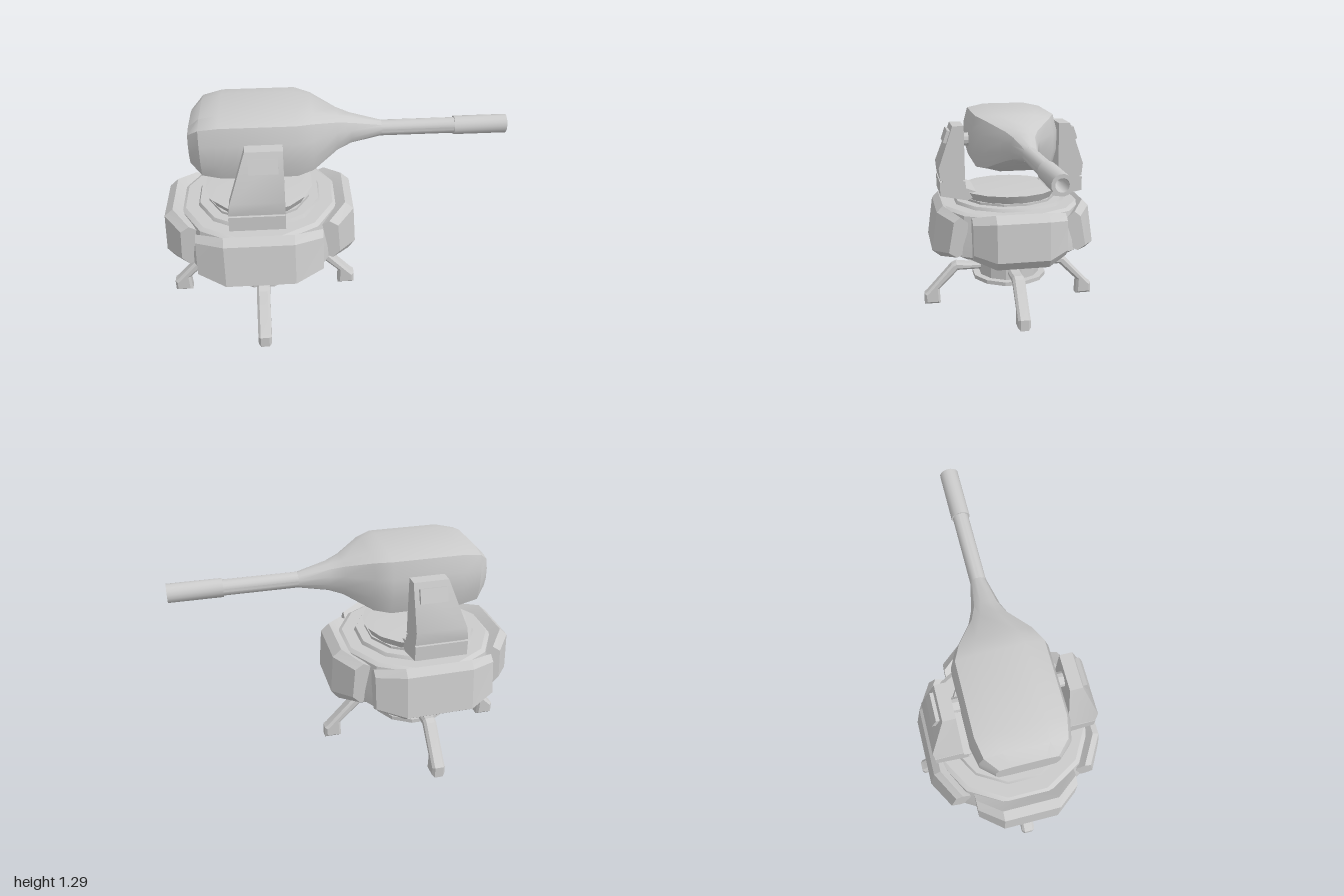
import * as THREE from 'three';
import { toCreasedNormals } from 'three/addons/utils/BufferGeometryUtils.js';

const AXIS_X = -0.425; // vertical axis of the base
const material = new THREE.MeshStandardMaterial({ color: 0xcccccc });

function add(parent, name, geometry, crease = 0.5) {
  const mesh = new THREE.Mesh(toCreasedNormals(geometry, crease), material);
  mesh.name = name;
  parent.add(mesh);
  return mesh;
}

// Joins equal-sized rings of [x, y, z] into a capped solid facing outward.
function loft(rings) {
  const n = rings[0].length, last = rings.length - 1;
  const pts = rings.flat();
  const index = [];
  for (let r = 0; r < last; r++) {
    for (let i = 0; i < n; i++) {
      const a = r * n + i, b = r * n + (i + 1) % n;
      index.push(a, b, b + n, a, b + n, a + n);
    }
  }
  for (const r of [0, last]) {
    const mid = [0, 1, 2].map(k => rings[r].reduce((s, p) => s + p[k] / n, 0));
    const c = pts.push(mid) - 1;
    for (let i = 0; i < n; i++) {
      const a = r * n + i, b = r * n + (i + 1) % n;
      index.push(...(r === 0 ? [c, b, a] : [c, a, b]));
    }
  }
  const v = pts.map(p => new THREE.Vector3(...p));
  let volume = 0;
  for (let i = 0; i < index.length; i += 3) {
    volume += v[index[i]].dot(v[index[i + 1]].clone().cross(v[index[i + 2]]));
  }
  if (volume < 0) index.reverse();
  const g = new THREE.BufferGeometry();
  g.setAttribute('position', new THREE.Float32BufferAttribute(pts.flat(), 3));
  g.setIndex(index);
  g.computeVertexNormals();
  return g;
}

function lathe(profile, sides) {
  const g = new THREE.LatheGeometry(profile.map(p => new THREE.Vector2(...p)), sides);
  return g.rotateY(Math.PI / sides);
}

function makeBase() {
  const base = new THREE.Group();
  base.name = 'base';
  base.position.x = AXIS_X;

  // Post with two flanges
  add(base, 'post', lathe([
    [0, 0.145], [0.17, 0.145], [0.205, 0.17], [0.245, 0.17], [0.245, 0.195], [0.2, 0.195],
    [0.2, 0.315], [0.29, 0.315], [0.29, 0.34], [0.24, 0.34], [0.24, 0.41], [0, 0.41],
  ], 12));

  // Bent legs, one on each side
  const outline = [
    [0.17, 0.225], [0.345, 0.225], [0.47, 0.1], [0.465, 0], [0.57, 0], [0.57, 0.07],
    [0.55, 0.085], [0.385, 0.265], [0.355, 0.28], [0.28, 0.27], [0.17, 0.27],
  ].map(p => new THREE.Vector2(...p));
  const leg = new THREE.ExtrudeGeometry(new THREE.Shape(outline), {
    depth: 0.05, bevelThickness: 0.014, bevelSize: 0.014, bevelOffset: -0.014, bevelSegments: 1,
  }).translate(0, 0, -0.025);
  for (let i = 0; i < 4; i++) add(base, 'leg', leg, 0.3).rotation.y = i * Math.PI / 2;
  return base;
}

function makeBody() {
  const body = new THREE.Group();
  body.name = 'body';
  body.position.x = AXIS_X;

  add(body, 'core', lathe([
    [0, 0.4], [0.45, 0.4], [0.5, 0.43], [0.495, 0.5], [0.465, 0.68], [0.44, 0.695],
    [0.365, 0.695], [0.355, 0.715], [0.3, 0.715], [0.3, 0.73], [0, 0.73],
  ], 12));
  add(body, 'turntable', lathe([[0, 0.725], [0.285, 0.725], [0.315, 0.78], [0.25, 0.785], [0, 0.785]], 16));

  // Armour panels: flat middle, ends swept back toward the core
  function panel(profile, depthSweep, flat, half) {
    const ring = (t, sweep, squash) => profile.map(([d, y]) =>
      [d - sweep, 0.555 + (y - 0.555) * squash, t]);
    return loft([
      ring(-half, depthSweep, 0.78), ring(-flat, 0, 1), ring(flat, 0, 1), ring(half, depthSweep, 0.78),
    ]);
  }
  const sidePanel = panel([
    [0.42, 0.67], [0.495, 0.72], [0.545, 0.675], [0.557, 0.44], [0.515, 0.385], [0.44, 0.43],
  ], 0.1, 0.16, 0.29);
  const facePanel = panel([
    [0.4, 0.67], [0.445, 0.715], [0.485, 0.675], [0.52, 0.43], [0.47, 0.39], [0.41, 0.43],
  ], 0.09, 0.195, 0.355);
  for (let i = 0; i < 4; i++) {
    add(body, 'armourPanel', i % 2 ? facePanel : sidePanel, 0.4).rotation.y = i * Math.PI / 2;
  }
  return body;
}

function makeArm(side) {
  const arm = new THREE.Group();
  arm.name = side > 0 ? 'frontArm' : 'backArm';
  const slab = (profile, rear) => loft([
    profile.map(([z, y]) => [-0.275, y, z * side]),
    profile.map(([z, y]) => [rear(y), y, z * side]),
  ]);
  // Upper arm leans forward on its rear edge
  add(arm, 'upperArm', slab(
    [[0.3, 1.2], [0.37, 1.2], [0.46, 0.94], [0.452, 0.862], [0.298, 0.862]],
    y => Math.max(-0.58, -0.475 - (1.2 - y) * 0.35)));
  add(arm, 'armJoint', slab([[0.31, 0.87], [0.44, 0.87], [0.44, 0.84], [0.31, 0.84]], () => -0.565));
  add(arm, 'armFoot', slab([
    [0.455, 0.852], [0.295, 0.852], [0.295, 0.81], [0.23, 0.785], [0.23, 0.755], [0.285, 0.73], [0.455, 0.765],
  ], () => -0.58));

  // Raised plate on the sloping outer face
  const plate = add(arm, 'armPlate', new THREE.BoxGeometry(0.155, 0.08, 0.03));
  plate.position.set(-0.38, 1.13, side * 0.4);
  plate.rotation.x = -side * 0.333;

  const pin = add(arm, 'pivotPin', new THREE.CylinderGeometry(0.042, 0.042, 0.08, 12));
  pin.rotation.x = Math.PI / 2;
  pin.position.set(-0.375, 1.103, side * 0.28);
  return arm;
}

function makeGun() {
  const gun = new THREE.Group();
  gun.name = 'gun';

  // Housing sections: x, bottom, top, half width, squareness (1 = boxy, 0 = round)
  const sections = [
    [-0.785, 1.01, 1.205, 0.17, 1], [-0.72, 0.955, 1.27, 0.24, 1], [-0.61, 0.94, 1.293, 0.264, 1],
    [-0.2, 0.938, 1.293, 0.264, 1], [-0.11, 0.945, 1.28, 0.222, 0.9], [0.03, 1.015, 1.228, 0.115, 0.6],
    [0.11, 1.04, 1.205, 0.082, 0.3], [0.285, 1.07, 1.16, 0.045, 0],
  ];
  const quarter = [[1, 0.33], [0.9, 0.87], [0.5, 1]];
  const round = [[0.966, 0.259], [0.707, 0.707], [0.259, 0.966]];
  const unit = s => {
    const q = quarter.map(([z, y], i) =>
      [THREE.MathUtils.lerp(round[i][0], z, s), THREE.MathUtils.lerp(round[i][1], y, s)]);
    const back = [...q].reverse();
    return [...q, ...back.map(([z, y]) => [-z, y]), ...q.map(([z, y]) => [-z, -y]), ...back.map(([z, y]) => [z, -y])];
  };
  add(gun, 'housing', loft(sections.map(([x, lo, hi, w, s]) =>
    unit(s).map(([z, y]) => [x, (lo + hi) / 2 + y * (hi - lo) / 2, z * w]))), 0.6);

  // Barrel with a thicker hollow muzzle, turned along x
  const barrel = lathe([
    [0.045, 0.26], [0.045, 0.7], [0.053, 0.7], [0.053, 1], [0.034, 1], [0.034, 0.88], [0.014, 0.82], [0, 0.82],
  ], 16).rotateZ(-Math.PI / 2);
  add(gun, 'barrel', barrel).position.y = 1.115;
  return gun;
}

export function createModel() {
  const model = new THREE.Group();
  model.name = 'turret';
  model.add(makeBase(), makeBody(), makeArm(1), makeArm(-1), makeGun());
  return model;
}
